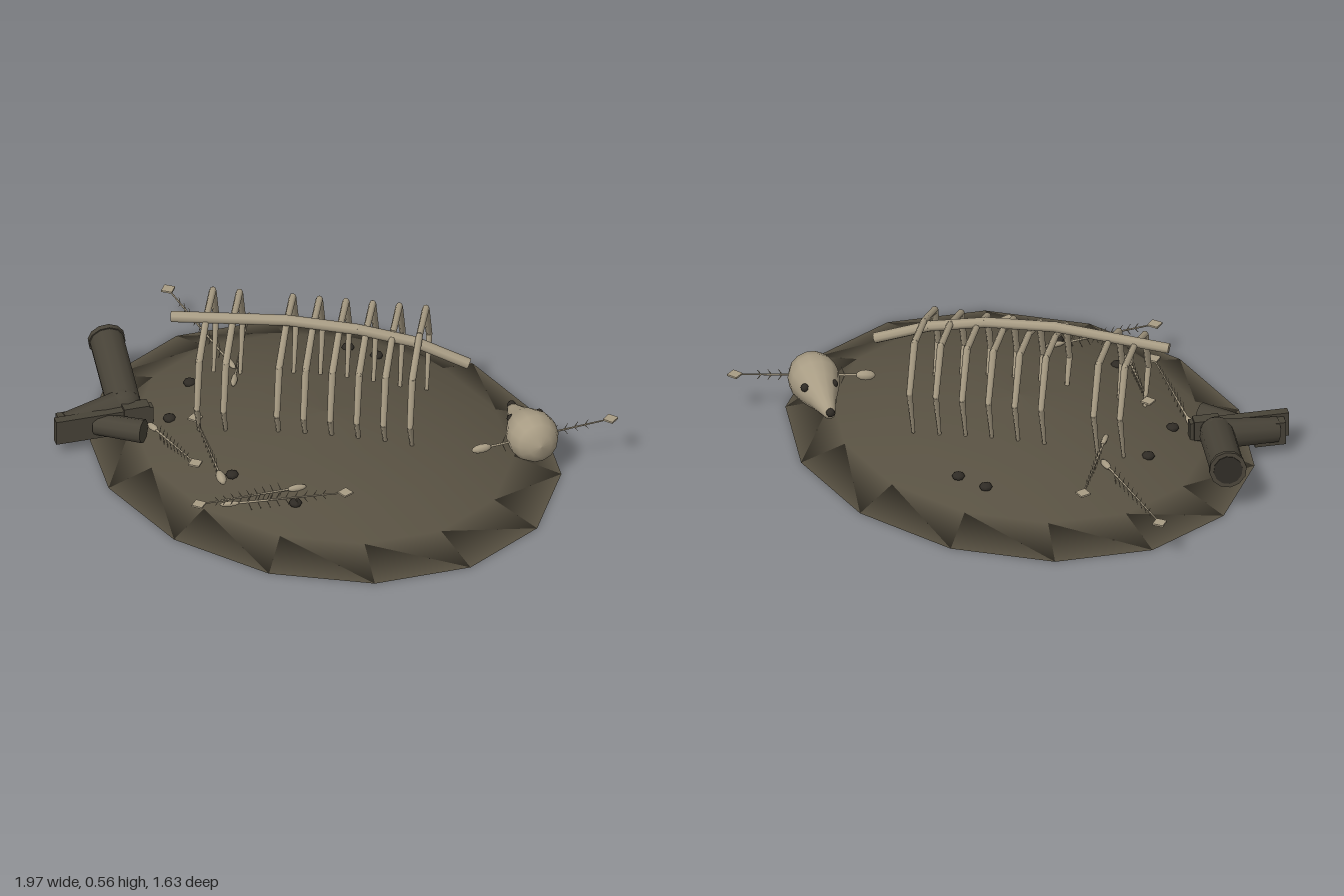
import * as THREE from 'three';

const mat = (name, color) => Object.assign(new THREE.MeshStandardMaterial({ color }), { name });
const V = (x, y, z) => new THREE.Vector3(x, y, z);
const UP = V(0, 1, 0);

export function createModel() {
  const model = new THREE.Group();
  model.name = 'boneMound';
  const mud = mat('mud', 0x585142);
  const bone = mat('bone', 0xa89c84);
  const leather = mat('darkLeather', 0x484338);
  const dark = mat('darkHollow', 0x2f2b25);

  const add = (parent, name, geometry, material) => {
    const m = new THREE.Mesh(geometry, material);
    m.name = name;
    parent.add(m);
    return m;
  };
  const group = (name) => {
    const g = new THREE.Group();
    g.name = name;
    model.add(g);
    return g;
  };
  // Tapered rod from a to b
  const rod = (parent, name, a, b, ra, rb, material, sides = 6, open = false) => {
    const d = b.clone().sub(a);
    const m = add(parent, name, new THREE.CylinderGeometry(rb, ra, d.length(), sides, 1, open), material);
    m.position.copy(a).add(b).multiplyScalar(0.5);
    m.quaternion.setFromUnitVectors(UP, d.normalize());
    return m;
  };
  const ball = (parent, name, p, r, material, sides = 8) => {
    const m = add(parent, name, new THREE.SphereGeometry(r, sides, Math.max(4, sides - 2)), material);
    m.position.copy(p);
    return m;
  };

  // Low fourteen-sided mound with a closed underside
  const profile = [[0, 0], [1, 0], [0.8, 0.06], [0.58, 0.123], [0.3, 0.165], [0, 0.185]];
  const mound = add(model, 'mound',
    new THREE.LatheGeometry(profile.map(([r, y]) => new THREE.Vector2(r, y)), 14), mud);
  mound.scale.set(0.96, 1, 0.815);
  mound.position.x = 0.037;
  const groundY = (x, z) => {
    const r = Math.min(1, Math.hypot((x - 0.037) / 0.96, z / 0.815));
    for (let i = 1; i < profile.length - 1; i++) {
      const [r0, y0] = profile[i], [r1, y1] = profile[i + 1];
      if (r >= r1) return y0 + (y1 - y0) * (r0 - r) / (r0 - r1);
    }
    return 0;
  };

  // Backbone, bent down at its far end
  const rack = group('ribCage');
  const spine = [V(-0.485, 0.508, 0.282), V(-0.12, 0.54, 0.035), V(0.1, 0.525, -0.12),
    V(0.27, 0.485, -0.25), V(0.44, 0.405, -0.37)];
  for (let i = 0; i < spine.length - 1; i++) {
    rod(rack, 'backbone', spine[i], spine[i + 1], 0.021, 0.021, bone, 8);
    if (i) ball(rack, 'backboneJoint', spine[i], 0.021, bone);
  }

  // Ribs, set across the backbone and rolled slightly; one pair is missing
  const ribSides = [
    [[0, 0.51], [-0.17, 0.518], [-0.26, 0.345], [-0.19, 0.135]],
    [[0, 0.51], [0.2, 0.44], [0.26, 0.265], [0.19, 0.115]],
  ];
  const ribRadius = [0.013, 0.014, 0.012, 0.007];
  for (let i = 0; i < 9; i++) {
    if (i === 2) continue;
    const cx = -0.385 + 0.083 * i, cz = 0.195 - 0.058 * i;
    for (const side of ribSides) {
      const pts = side.map(([u, y]) => V(cx + u * 0.58, y, cz + u * 0.81));
      for (let k = 0; k < 3; k++) {
        rod(rack, 'rib', pts[k], pts[k + 1], ribRadius[k], ribRadius[k + 1], bone);
        if (k) ball(rack, 'ribJoint', pts[k], ribRadius[k], bone, 6);
      }
    }
  }

  // Pear-shaped skull: local +y points from nose to back of the head
  const skull = group('skull');
  skull.position.set(0.475, 0.128, -0.565);
  skull.quaternion.setFromUnitVectors(UP, V(0.88, 0.1, 0.45).normalize());
  const skullShape = [[0, 0], [0.02, 0.004], [0.032, 0.04], [0.052, 0.1], [0.078, 0.16],
    [0.096, 0.215], [0.096, 0.26], [0.078, 0.305], [0.045, 0.33], [0, 0.34]];
  add(skull, 'cranium',
    new THREE.LatheGeometry(skullShape.map((p) => new THREE.Vector2(...p)), 14), bone);
  const head = group('skullDetails');
  ball(head, 'noseHollow', V(0.475, 0.14, -0.565), 0.017, dark);
  for (const s of [-1, 1]) {
    ball(head, 'eyeSocket', V(0.6 - s * 0.026, 0.178, -0.507 + s * 0.05), 0.016, dark);
  }

  // Fish skeletons: head, spine, upright bristles and a flat diamond tail
  const fishes = [
    [V(0.59, 0.135, -0.28), V(0.86, 0.19, -0.7)],
    [V(-0.49, 0.135, -0.045), V(-0.97, 0.165, -0.21)],
    [V(-0.38, 0.155, 0.05), V(-0.62, 0.165, -0.28)],
    [V(-0.44, 0.1, 0.43), V(-0.09, 0.165, 0.565)],
    [V(0.27, 0.135, 0.39), V(0.1, 0.155, 0.745)],
    [V(0.14, 0.115, 0.62), V(0.47, 0.18, 0.335)],
    [V(0.01, 0.13, 0.53), V(-0.3, 0.165, 0.345)],
  ];
  fishes.forEach(([a, b], n) => {
    const fish = group('fishSkeleton' + (n + 1));
    const dir = b.clone().sub(a).normalize();
    const big = n === 0 || n === 6;
    const skullBit = ball(fish, 'fishHead', a, 1, bone);
    skullBit.scale.set(big ? 0.018 : 0.011, 0.038, big ? 0.02 : 0.014);
    skullBit.quaternion.setFromUnitVectors(UP, dir);
    rod(fish, 'fishSpine', a, b, 0.005, 0.003, bone, 5);
    for (let k = 0; k < 9; k++) {
      const t = 0.16 + k * 0.08;
      const p = a.clone().lerp(b, t);
      const h = 0.042 * (1 - 0.65 * t);
      for (const s of [-1, 1]) {
        const tip = p.clone().addScaledVector(dir, 0.014).add(V(0, s * h, 0));
        rod(fish, 'fishRib', p, tip, 0.0025, 0.001, bone, 4);
      }
    }
    const tail = add(fish, 'fishTail', new THREE.BoxGeometry(0.042, 0.007, 0.042), bone);
    tail.position.copy(b);
    tail.rotation.y = Math.atan2(dir.x, dir.z) + Math.PI / 4;
  });

  // Small dark pebbles
  for (const [x, z] of [[-0.27, -0.455], [-0.15, -0.485], [-0.53, 0.135], [-0.43, 0.35],
    [0.02, 0.48], [0.315, 0.445]]) {
    ball(model, 'pebble', V(x, groundY(x, z) + 0.003, z), 0.025, dark).scale.y = 0.6;
  }

  // Discarded boots: a long shaft with a rim, its foot, a sole and a short second shaft
  const boots = group('boots');
  const mouth = V(-0.885, 0.185, 0.215), ankle = V(-0.6, 0.125, 0.42);
  rod(boots, 'bootShaft', ankle, mouth, 0.066, 0.066, leather, 12);
  const axis = mouth.clone().sub(ankle).normalize();
  rod(boots, 'bootRim', mouth.clone().addScaledVector(axis, -0.012),
    mouth.clone().addScaledVector(axis, 0.008), 0.071, 0.071, leather, 12);
  rod(boots, 'bootOpening', mouth, mouth.clone().addScaledVector(axis, 0.012), 0.055, 0.055, dark, 12);
  ball(boots, 'bootAnkle', ankle, 0.066, leather, 12);
  rod(boots, 'bootFoot', ankle, V(-0.69, 0.095, 0.64), 0.06, 0.05, leather, 10);
  rod(boots, 'secondShaft', V(-0.61, 0.1, 0.56), V(-0.435, 0.11, 0.485), 0.042, 0.046, leather, 10);
  const slab = (name, w, h, l, x, y, z) => {
    const m = add(boots, name, new THREE.BoxGeometry(w, h, l), leather);
    m.position.set(x, y, z);
    m.rotation.y = -0.53;
  };
  slab('bootSole', 0.036, 0.1, 0.38, -0.59, 0.1, 0.54);
  slab('bootHeel', 0.05, 0.08, 0.1, -0.53, 0.12, 0.43);
  slab('bootToe', 0.07, 0.095, 0.12, -0.67, 0.09, 0.62);

  return model;
}
